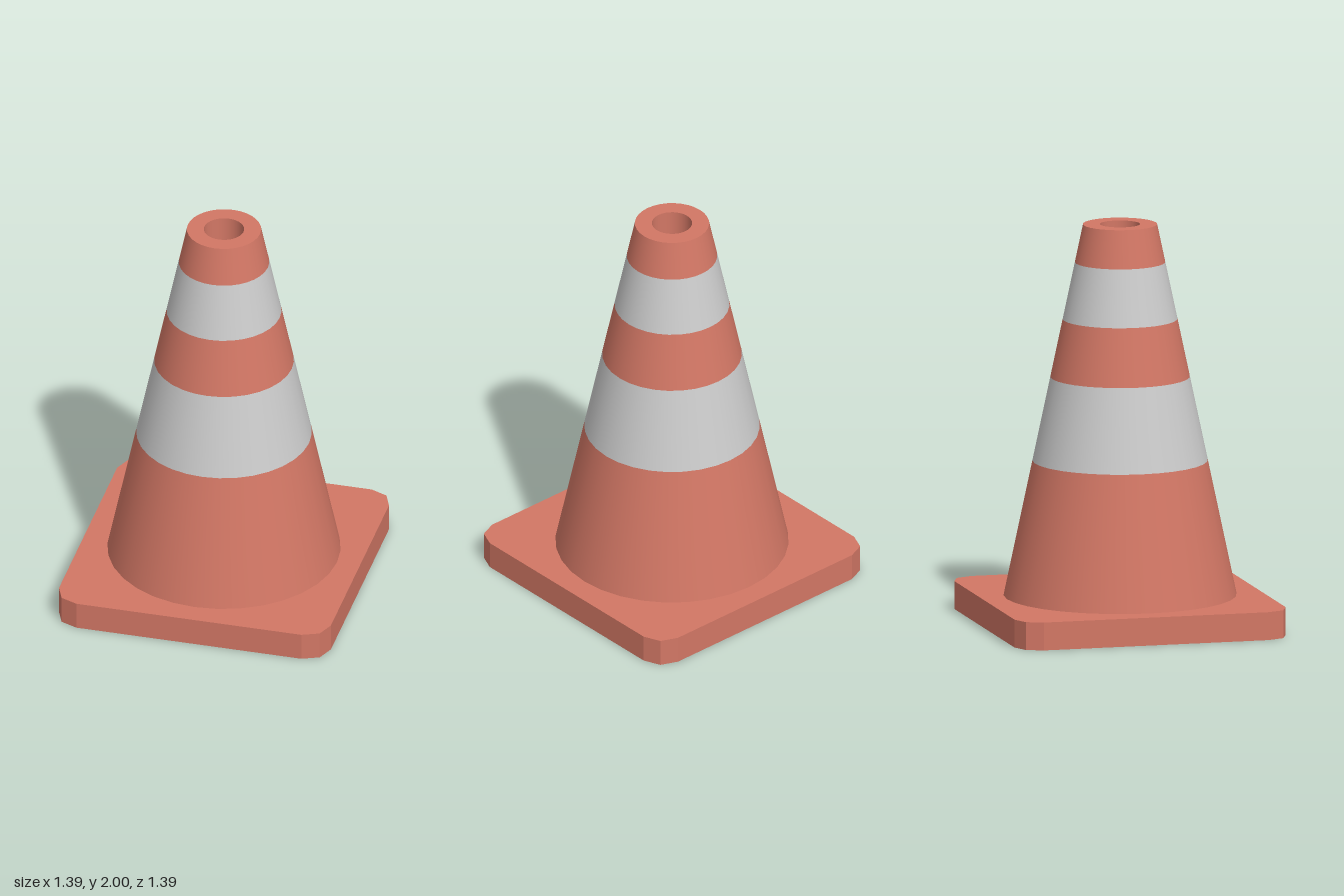
import * as THREE from 'three';

const SIDES = 32;
const BASE_TOP = 0.14, TOP = 2, R_BOTTOM = 0.578, R_TOP = 0.184;
const HOLE_R = 0.1, HOLE_FLOOR = 1.6;

// Cone radius at a given height
const radiusAt = y => THREE.MathUtils.mapLinear(y, BASE_TOP, TOP, R_BOTTOM, R_TOP);

export function createModel() {
  const group = new THREE.Group();
  const orange = new THREE.MeshStandardMaterial({ color: 0xd27765 });
  const grey = new THREE.MeshStandardMaterial({ color: 0xcccccc });
  const inside = new THREE.MeshStandardMaterial({ color: 0xd27765, side: THREE.BackSide });

  const add = (name, geometry, material, y = 0) => {
    const mesh = new THREE.Mesh(geometry, material);
    mesh.name = name;
    mesh.position.y = y;
    group.add(mesh);
  };

  // Square base plate, each corner rounded in two facets
  const half = 0.695, r = 0.12, plate = [];
  for (let corner = 0; corner < 4; corner++) {
    const mid = Math.PI / 4 + corner * Math.PI / 2;
    const cx = Math.sign(Math.cos(mid)) * (half - r);
    const cy = Math.sign(Math.sin(mid)) * (half - r);
    for (let i = 0; i <= 2; i++) {
      const a = (corner + i / 2) * Math.PI / 2;
      plate.push(new THREE.Vector2(cx + r * Math.cos(a), cy + r * Math.sin(a)));
    }
  }
  const base = new THREE.ExtrudeGeometry(new THREE.Shape(plate), { depth: BASE_TOP, bevelEnabled: false });
  add('base', base.rotateX(-Math.PI / 2), orange);

  // Cone body in alternating bands
  const heights = [BASE_TOP, 0.815, 1.235, 1.525, 1.81, TOP];
  const names = ['lowerCone', 'lowerStripe', 'middleCone', 'upperStripe', 'coneTip'];
  names.forEach((name, i) => {
    const y0 = heights[i], y1 = heights[i + 1];
    const band = new THREE.CylinderGeometry(radiusAt(y1), radiusAt(y0), y1 - y0, SIDES, 1, true);
    add(name, band, i % 2 ? grey : orange, (y0 + y1) / 2);
  });

  // Flat rim with the hole in the top
  add('rim', new THREE.RingGeometry(HOLE_R, R_TOP, SIDES).rotateX(-Math.PI / 2), orange, TOP);
  const depth = TOP - HOLE_FLOOR;
  add('holeWall', new THREE.CylinderGeometry(HOLE_R, HOLE_R, depth, SIDES, 1, true), inside, TOP - depth / 2);
  add('holeFloor', new THREE.CircleGeometry(HOLE_R, SIDES).rotateX(-Math.PI / 2), orange, HOLE_FLOOR);

  return group;
}
